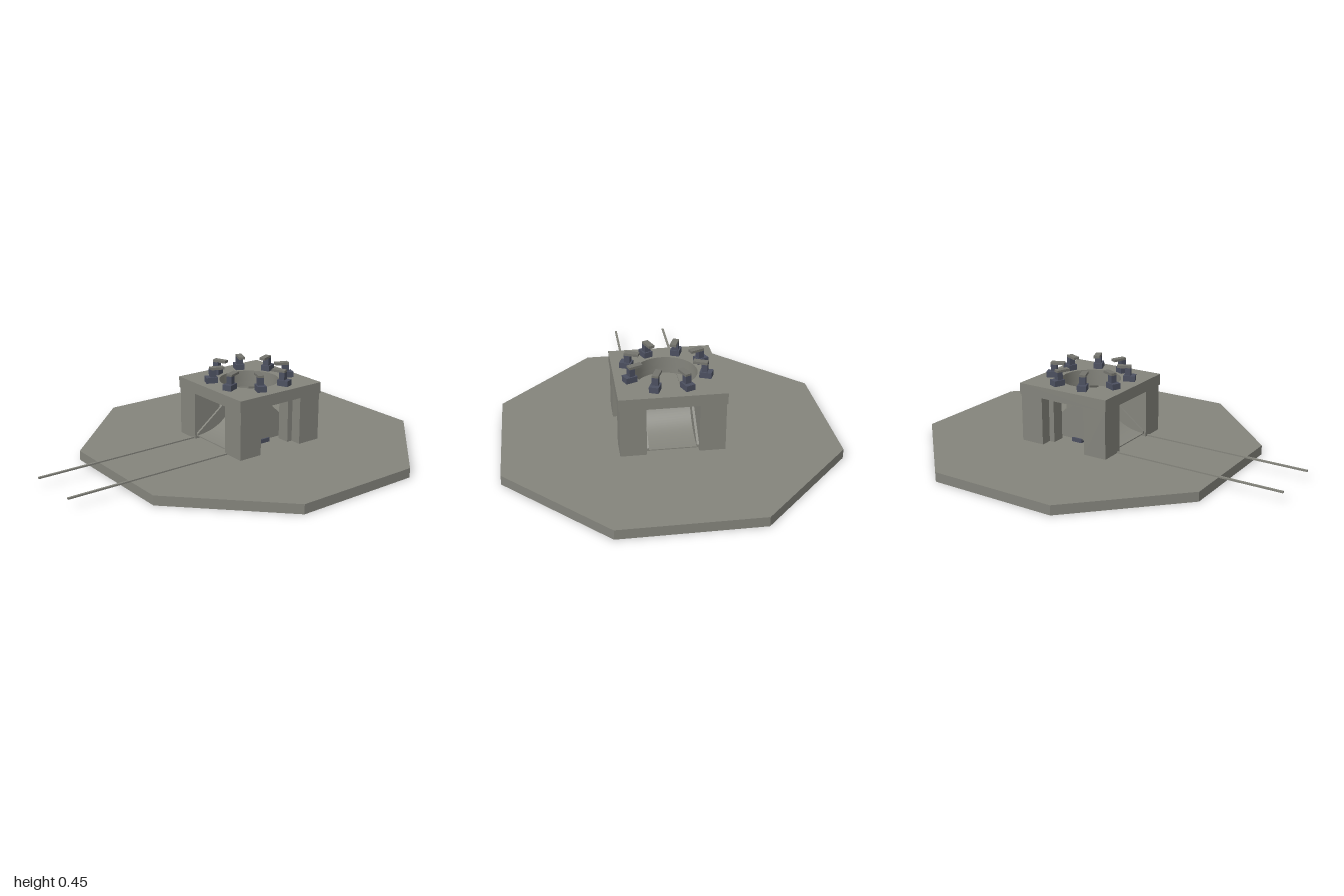
import * as THREE from 'three';
import { toCreasedNormals } from 'three/addons/utils/BufferGeometryUtils.js';

const CX = 0.165; // tower and pad centre

export function createModel() {
  const model = new THREE.Group();
  model.name = 'launchPad';
  const paint = (name, color) => {
    const m = new THREE.MeshStandardMaterial({ color });
    m.name = name;
    return m;
  };
  const concrete = paint('concrete grey', 0x84847c);
  const steel = paint('dark blue steel', 0x4c5060);
  const armGrey = paint('clamp arm grey', 0x74746e);

  const add = (parent, name, geo, mat) => {
    const mesh = new THREE.Mesh(geo, mat);
    mesh.name = name;
    parent.add(mesh);
    return mesh;
  };
  // Box given by its minimum and maximum corners
  const box = (parent, name, mat, [x0, y0, z0], [x1, y1, z1]) => {
    const mesh = add(parent, name, new THREE.BoxGeometry(x1 - x0, y1 - y0, z1 - z0), mat);
    mesh.position.set((x0 + x1) / 2, (y0 + y1) / 2, (z0 + z1) / 2);
    return mesh;
  };
  const extrude = (shape, depth) => toCreasedNormals(
    new THREE.ExtrudeGeometry(shape, { depth, bevelEnabled: false, curveSegments: 24 }), 0.5);

  // Rails running in from the side
  for (const s of [-1, 1]) {
    box(model, 'rail', concrete, [-1, 0.049, s * 0.147 - 0.006], [-0.09, 0.057, s * 0.147 + 0.006]);
  }

  const site = new THREE.Group();
  site.name = 'padAndTower';
  site.position.x = CX;
  model.add(site);

  // Octagonal pad
  const r = 0.835 / Math.cos(Math.PI / 8);
  const octagon = new THREE.CylinderGeometry(r, r, 0.05, 8);
  octagon.rotateY(Math.PI / 8);
  add(site, 'pad', toCreasedNormals(octagon, 0.5), concrete).position.y = 0.025;

  // Corner pillars with a narrower inset post
  for (const sx of [-1, 1]) {
    for (const sz of [-1, 1]) {
      const pillar = box(site, 'pillar', concrete, [-0.065, 0.05, -0.065], [0.065, 0.305, 0.065]);
      pillar.position.x = sx * 0.195;
      pillar.position.z = sz * 0.195;
      const post = box(site, 'innerPost', concrete, [-0.02, 0.05, -0.035], [0.02, 0.305, 0.035]);
      post.position.x = sx * 0.12;
      post.position.z = sz * 0.165;
    }
  }

  // Square slabs with a round exhaust opening
  const slab = (name, half, y, height) => {
    const shape = new THREE.Shape([[-1, -1], [1, -1], [1, 1], [-1, 1]]
      .map(([a, b]) => new THREE.Vector2(a * half, b * half)));
    const hole = new THREE.Path();
    hole.absarc(0, 0, 0.158, 0, Math.PI * 2, true);
    shape.holes.push(hole);
    const mesh = add(site, name, extrude(shape, height), concrete);
    mesh.rotation.x = -Math.PI / 2;
    mesh.position.y = y;
  };
  slab('topSlab', 0.265, 0.305, 0.06);
  slab('collar', 0.2, 0.275, 0.03);

  // Flame deflector: concave wedge between two gabled cheeks
  const wedge = new THREE.Shape();
  wedge.moveTo(-0.25, 0.065);
  wedge.lineTo(0.25, 0.065);
  wedge.lineTo(0.25, 0.07);
  wedge.quadraticCurveTo(0.04, 0.08, 0, 0.275);
  wedge.quadraticCurveTo(-0.04, 0.08, -0.25, 0.07);
  add(site, 'flameDeflector', extrude(wedge, 0.24), concrete).position.z = -0.12;

  const gable = new THREE.Shape([[-0.25, 0.065], [0.25, 0.065], [0.25, 0.08],
    [0.1, 0.195], [0.015, 0.275], [-0.015, 0.275], [-0.1, 0.195], [-0.25, 0.08]]
    .map(([a, b]) => new THREE.Vector2(a, b)));
  for (const z of [-0.13, 0.118]) {
    add(site, 'deflectorCheek', extrude(gable, 0.012), concrete).position.z = z;
  }
  // Small supports under the deflector
  for (const s of [-1, 1]) {
    const foot = box(site, 'deflectorFoot', steel, [-0.03, 0.05, -0.012], [0.03, 0.072, 0.012]);
    foot.position.z = s * 0.126;
  }

  // Ring of hold-down clamps, arms pointing inward
  for (let i = 0; i < 8; i++) {
    const clamp = new THREE.Group();
    clamp.name = 'holdDownClamp';
    clamp.rotation.y = Math.PI / 8 + i * Math.PI / 4;
    box(clamp, 'clampBase', steel, [0.175, 0.365, -0.024], [0.236, 0.395, 0.024]);
    box(clamp, 'clampPost', steel, [0.183, 0.395, -0.016], [0.213, 0.435, 0.016]);
    box(clamp, 'clampArm', armGrey, [0.14, 0.433, -0.016], [0.213, 0.446, 0.016]);
    site.add(clamp);
  }
  return model;
}
